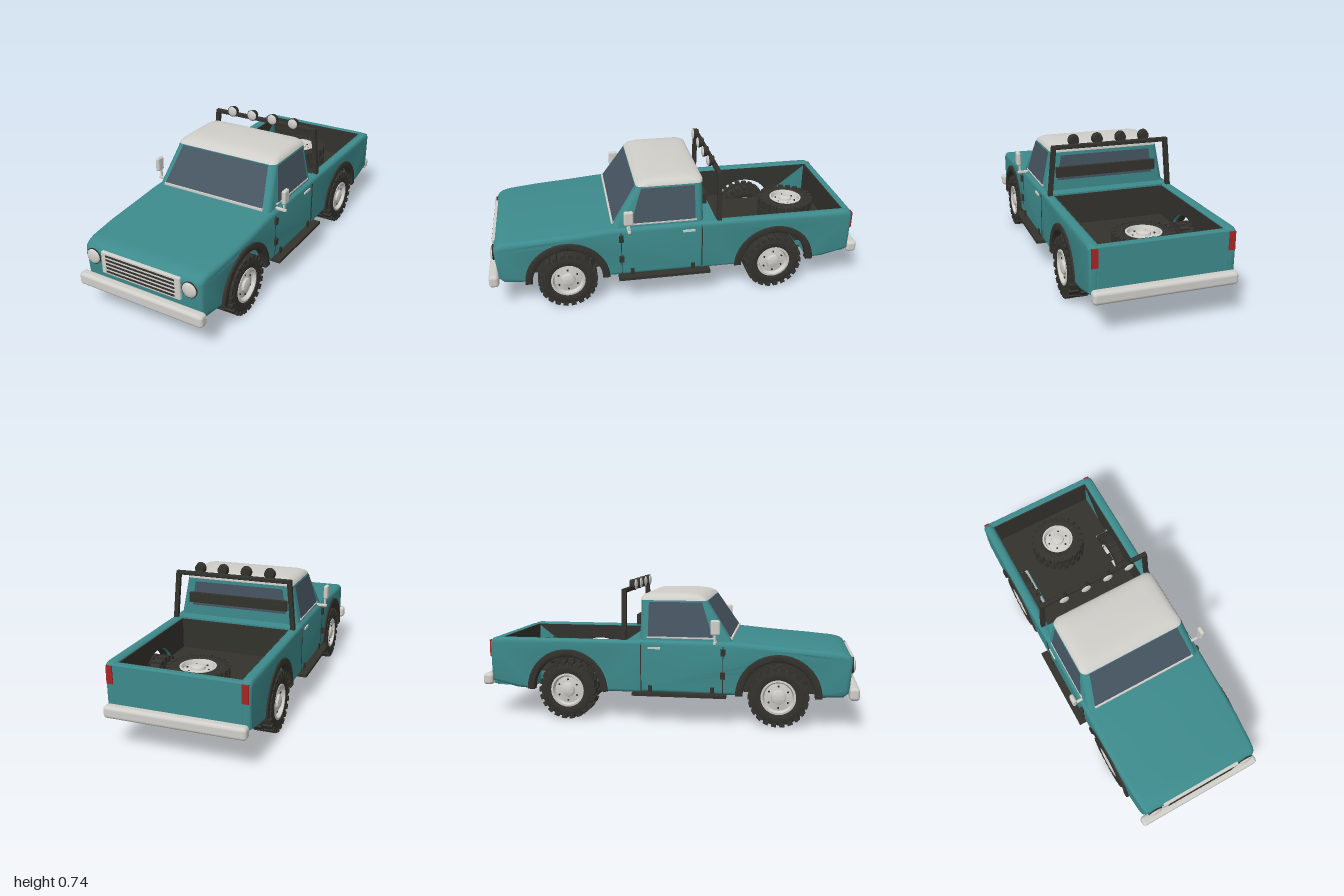
import * as THREE from 'three';
import { mergeGeometries, toCreasedNormals } from 'three/addons/utils/BufferGeometryUtils.js';
import { RoundedBoxGeometry } from 'three/addons/geometries/RoundedBoxGeometry.js';

function material(name, color) {
  const m = new THREE.MeshStandardMaterial({ color });
  m.name = name;
  return m;
}
const teal = material('teal paint', 0x3d8a8c);
const dark = material('dark rubber', 0x33322d);
const pale = material('pale metal', 0xcfcec9);
const red = material('red lens', 0xa82424);
const glass = material('window glass', 0x465561);
glass.side = THREE.DoubleSide;

const FRONT = 0.595, REAR = -0.52, AXLE = 0.16, ARCH = 0.19;

export function createModel() {
  const truck = new THREE.Group();
  truck.name = 'pickupTruck';

  function add(name, geometry, mat, parent = truck) {
    const mesh = new THREE.Mesh(geometry, mat);
    mesh.name = name;
    parent.add(mesh);
    return mesh;
  }
  // Box given by its limits on each axis, optionally with rounded edges
  function box(name, mat, x0, x1, y0, y1, z0, z1, r = 0) {
    const size = [x1 - x0, y1 - y0, z1 - z0];
    const g = r ? new RoundedBoxGeometry(...size, 3, r) : new THREE.BoxGeometry(...size);
    g.translate((x0 + x1) / 2, (y0 + y1) / 2, (z0 + z1) / 2);
    return add(name, g, mat);
  }
  // The same box on both sides of the truck
  function pair(name, mat, x0, x1, ...rest) {
    box(name + 'Left', mat, x0, x1, ...rest);
    box(name + 'Right', mat, -x1, -x0, ...rest);
  }
  // Side profile drawn as (z, y), extruded across x from x0 to x1
  function sideExtrude(shape, x0, x1, b = 0) {
    const g = new THREE.ExtrudeGeometry(shape, {
      depth: x1 - x0 - 2 * b, bevelEnabled: b > 0, bevelSize: b, bevelThickness: b,
      bevelOffset: -b, bevelSegments: 4, curveSegments: 32,
    });
    return g.rotateY(-Math.PI / 2).translate(x1 - b, 0, 0);
  }
  // Stack of rounded rectangles: [y, zBack, zFront, halfWidth, cornerRadius]
  function loft(sections, capped) {
    const pos = [], idx = [], k = 6, n = 4 * (k + 1);
    for (const [y, zb, zf, w, r] of sections) {
      for (let c = 0; c < 4; c++) for (let i = 0; i <= k; i++) {
        const a = (c + i / k) * Math.PI / 2;
        const cx = (c === 0 || c === 3 ? 1 : -1) * (w - r), cz = c < 2 ? zf - r : zb + r;
        pos.push(cx + r * Math.cos(a), y, cz + r * Math.sin(a));
      }
    }
    for (let s = 0; s < sections.length - 1; s++) for (let j = 0; j < n; j++) {
      const a = s * n + j, b = s * n + (j + 1) % n;
      idx.push(a, a + n, b, b, a + n, b + n);
    }
    if (capped) {
      const [y, zb, zf] = sections[sections.length - 1], base = (sections.length - 1) * n;
      pos.push(0, y + 0.003, (zb + zf) / 2);
      for (let j = 0; j < n; j++) idx.push(base + n, base + (j + 1) % n, base + j);
    }
    const g = new THREE.BufferGeometry();
    g.setAttribute('position', new THREE.Float32BufferAttribute(pos, 3));
    g.setIndex(idx);
    return toCreasedNormals(g, 0.6);
  }
  // Flat four-cornered plate
  function plate(name, mat, pts) {
    const g = new THREE.BufferGeometry();
    g.setAttribute('position', new THREE.Float32BufferAttribute(pts.flat(), 3));
    g.setIndex([0, 1, 2, 0, 2, 3]);
    g.computeVertexNormals();
    add(name, g, mat);
  }

  // Front body: nose, hood and lower cab, with the nose drawn in
  const front = new THREE.Shape();
  front.moveTo(-0.13, 0.16).lineTo(FRONT - ARCH, 0.16);
  front.absarc(FRONT, AXLE, ARCH, Math.PI, 0, true);
  front.lineTo(0.92, 0.165).lineTo(0.95, 0.19).lineTo(0.963, 0.35);
  front.quadraticCurveTo(0.962, 0.39, 0.88, 0.398);
  front.lineTo(0.74, 0.409).lineTo(0.55, 0.422).lineTo(0.37, 0.438).lineTo(-0.13, 0.44);
  const frontGeo = sideExtrude(front, -0.36, 0.36, 0.025);
  const p = frontGeo.attributes.position;
  for (let i = 0; i < p.count; i++) {
    const t = Math.max(0, (p.getZ(i) - 0.6) / 0.36);
    p.setX(i, p.getX(i) * (1 - 0.06 * t * t));
  }
  add('frontBody', toCreasedNormals(frontGeo, 0.6), teal);

  // Bed sides and their dark lining
  const bed = new THREE.Shape();
  bed.moveTo(-0.8, 0.165).lineTo(REAR - ARCH, 0.16);
  bed.absarc(REAR, AXLE, ARCH, Math.PI, 0, true);
  bed.lineTo(-0.11, 0.16).lineTo(-0.11, 0.436).lineTo(-0.9, 0.436);
  bed.quadraticCurveTo(-0.95, 0.436, -0.95, 0.4).lineTo(-0.945, 0.2);
  const lining = new THREE.Shape(), a = Math.asin(0.09 / ARCH);
  lining.moveTo(-0.91, 0.25).absarc(REAR, AXLE, ARCH, Math.PI - a, a, true);
  lining.lineTo(-0.2, 0.25).lineTo(-0.2, 0.425).lineTo(-0.91, 0.425);
  add('bedSideLeft', toCreasedNormals(sideExtrude(bed, 0.305, 0.36, 0.02), 0.6), teal);
  add('bedSideRight', toCreasedNormals(sideExtrude(bed, -0.36, -0.305, 0.02), 0.6), teal);
  add('bedLiningLeft', sideExtrude(lining, 0.3, 0.306), dark);
  add('bedLiningRight', sideExtrude(lining, -0.306, -0.3), dark);

  // Bed ends, floor with wheel slots, and underside
  box('tailgate', teal, -0.325, 0.325, 0.175, 0.428, -0.948, -0.91, 0.008);
  box('bedFrontWall', teal, -0.32, 0.32, 0.17, 0.434, -0.2, -0.12);
  box('tailgateLining', dark, -0.305, 0.305, 0.25, 0.425, -0.912, -0.905);
  box('frontWallLining', dark, -0.305, 0.305, 0.25, 0.425, -0.206, -0.198);
  for (const [w, z0, z1] of [[0.306, -0.91, -0.65], [0.235, -0.65, -0.39], [0.306, -0.39, -0.2]])
    box('bedFloor', dark, -w, w, 0.25, 0.26, z0, z1);
  box('rearUnderside', teal, -0.32, 0.32, 0.17, 0.249, -0.93, -0.71);
  box('middleUnderside', teal, -0.23, 0.23, 0.17, 0.249, -0.71, -0.33);
  box('bedUnderside', teal, -0.32, 0.32, 0.165, 0.249, -0.33, -0.19);
  box('underPan', dark, -0.22, 0.22, 0.155, 0.175, -0.72, 0.76);

  // Cab and roof
  const zWind = y => 0.369 - (y - 0.42) * 0.667, xSide = y => 0.349 - (y - 0.42) * 0.2;
  add('cab', loft([[0.42, -0.13, 0.365, 0.345, 0.03], [0.645, -0.13, 0.215, 0.3, 0.03]]), teal);
  add('roof', loft([[0.643, -0.133, 0.22, 0.303, 0.035], [0.655, -0.133, 0.21, 0.299, 0.04],
    [0.668, -0.125, 0.185, 0.285, 0.05], [0.676, -0.105, 0.15, 0.265, 0.06],
    [0.68, -0.07, 0.1, 0.22, 0.06]], true), pale);
  const wind = (x, y) => [x, y, zWind(y)];
  plate('windshield', glass, [wind(-0.302, 0.456), wind(0.302, 0.456), wind(0.264, 0.64), wind(-0.264, 0.64)]);
  box('windshieldTrim', pale, -0.305, 0.305, 0.445, 0.456, 0.335, 0.355);
  plate('rearWindow', glass, [[0.27, 0.49, -0.134], [-0.27, 0.49, -0.134], [-0.25, 0.625, -0.134], [0.25, 0.625, -0.134]]);
  box('rearWindowBar', dark, -0.28, 0.28, 0.51, 0.565, -0.155, -0.135);
  for (const s of [1, -1]) {
    const side = (y, z) => [s * xSide(y), y, z];
    const pts = [side(0.458, 0.255), side(0.458, -0.085), side(0.635, -0.085), side(0.635, 0.195)];
    plate('sideWindow', glass, pts);
  }
  pair('windowSill', pale, 0.33, 0.345, 0.45, 0.458, -0.09, 0.265);

  // Door seams, hinges, handles and running boards
  pair('doorSeamFront', dark, 0.35, 0.361, 0.17, 0.415, 0.308, 0.312);
  pair('doorSeamRear', dark, 0.35, 0.361, 0.17, 0.415, -0.122, -0.118);
  for (const y of [0.265, 0.385]) pair('doorHinge', dark, 0.35, 0.372, y - 0.018, y + 0.018, 0.298, 0.322);
  pair('doorHandle', pale, 0.35, 0.367, 0.395, 0.406, -0.08, -0.015);
  pair('runningBoard', dark, 0.34, 0.4, 0.152, 0.168, -0.16, 0.33);
  for (const z of [0.255, -0.07]) pair('boardBracket', dark, 0.34, 0.368, 0.16, 0.202, z - 0.01, z + 0.01);

  // Wing mirrors
  pair('mirrorArm', pale, 0.33, 0.4, 0.428, 0.444, 0.262, 0.278, 0.005);
  pair('mirrorPost', pale, 0.382, 0.392, 0.435, 0.49, 0.265, 0.275);
  pair('mirrorHead', pale, 0.381, 0.405, 0.478, 0.556, 0.248, 0.298, 0.01);

  // Bumpers, grille and lamps
  box('frontBumper', pale, -0.362, 0.362, 0.155, 0.222, 0.948, 1, 0.018);
  box('rearBumper', pale, -0.355, 0.355, 0.172, 0.234, -1, -0.945, 0.018);
  box('grille', pale, -0.23, 0.23, 0.25, 0.37, 0.935, 0.972, 0.006);
  for (let i = 0; i < 5; i++) {
    const y = 0.268 + i * 0.021;
    box('grilleSlot', dark, -0.2, 0.2, y - 0.005, y + 0.005, 0.968, 0.974);
  }
  pair('tailLight', red, 0.318, 0.35, 0.33, 0.42, -0.953, -0.93);

  // Round lamp facing forward: dark case and pale domed lens
  function lamp(name, x, y, z, r, depth) {
    const g = new THREE.Group();
    g.name = name;
    g.position.set(x, y, z);
    truck.add(g);
    add('lampCase', new THREE.CylinderGeometry(r, r * 0.8, depth, 28).rotateX(Math.PI / 2), dark, g);
    add('lampLens', new THREE.SphereGeometry(r * 0.91, 28, 8, 0, Math.PI * 2, 0, Math.PI / 2)
      .scale(1, 0.35, 1).rotateX(Math.PI / 2).translate(0, 0, depth / 2), pale, g);
  }
  for (const x of [-0.28, 0.28]) lamp('headlight', x, 0.325, 0.953, 0.042, 0.03);
  for (const x of [-0.195, -0.065, 0.065, 0.195]) lamp('roofLamp', x, 0.717, -0.193, 0.031, 0.03);

  // Roll bar
  box('rollBarTop', dark, -0.322, 0.322, 0.68, 0.702, -0.226, -0.202, 0.005);
  for (const s of [1, -1]) {
    const post = add('rollBarPost', new THREE.BoxGeometry(0.023, 0.29, 0.024), dark);
    post.position.set(s * 0.323, 0.555, -0.214);
    post.rotation.z = s * 0.09;
  }

  // Wheel arch flares, front arch filling and axles
  function halfRing(z, r0, r1) {
    const s = new THREE.Shape();
    s.absarc(z, AXLE, r1, 0, Math.PI, false);
    if (r0) s.absarc(z, AXLE, r0, Math.PI, 0, true);
    return s;
  }
  for (const z of [FRONT, REAR]) {
    const ring = halfRing(z, 0.183, 0.221);
    add('flareLeft', toCreasedNormals(sideExtrude(ring, 0.325, 0.368, 0.006), 0.6), dark);
    add('flareRight', toCreasedNormals(sideExtrude(ring, -0.368, -0.325, 0.006), 0.6), dark);
    const axle = add('axle', new THREE.CylinderGeometry(0.024, 0.024, 0.56, 16).rotateZ(Math.PI / 2), dark);
    axle.position.set(0, AXLE, z);
  }
  add('frontArchFilling', sideExtrude(halfRing(FRONT, 0, 0.192), -0.25, 0.25), dark);

  // Wheels, built around the y axis with the outer face up
  const lathe = pts => toCreasedNormals(
    new THREE.LatheGeometry(pts.map(q => new THREE.Vector2(...q)), 40), 0.6);
  const tire = lathe([[0.08, -0.045], [0.1, -0.054], [0.13, -0.054], [0.146, -0.044],
    [0.146, 0.044], [0.13, 0.054], [0.1, 0.054], [0.08, 0.045]]);
  const rim = lathe([[0, -0.02], [0.06, -0.02], [0.082, -0.046], [0.09, -0.053], [0.09, 0.053], [0.08, 0.054],
    [0.072, 0.034], [0.045, 0.038], [0.037, 0.04], [0.034, 0.051], [0.02, 0.056], [0, 0.057]]);
  const blocks = [], nuts = [];
  for (let i = 0; i < 44; i++) {
    const s = i % 2 ? 1 : -1;
    blocks.push(new THREE.BoxGeometry(0.022, 0.05, 0.026).translate(0.144, s * 0.03, 0).rotateY(i * Math.PI / 22));
  }
  for (let i = 0; i < 6; i++)
    nuts.push(new THREE.CylinderGeometry(0.005, 0.005, 0.008, 8).translate(0.056, 0.038, 0).rotateY(i * Math.PI / 3));
  const tread = mergeGeometries(blocks), nutRing = mergeGeometries(nuts);
  function wheel(name, x, y, z, tilt) {
    const g = new THREE.Group();
    g.name = name;
    add('tire', tire, dark, g);
    add('tread', tread, dark, g);
    add('rim', rim, pale, g);
    add('wheelNuts', nutRing, dark, g);
    g.position.set(x, y, z);
    g.rotation.z = tilt;
    truck.add(g);
  }
  for (const s of [1, -1]) for (const z of [FRONT, REAR])
    wheel(z > 0 ? 'frontWheel' : 'rearWheel', s * 0.31, AXLE, z, -s * Math.PI / 2);
  wheel('spareWheel', 0, 0.315, -0.69, 0);

  return truck;
}
